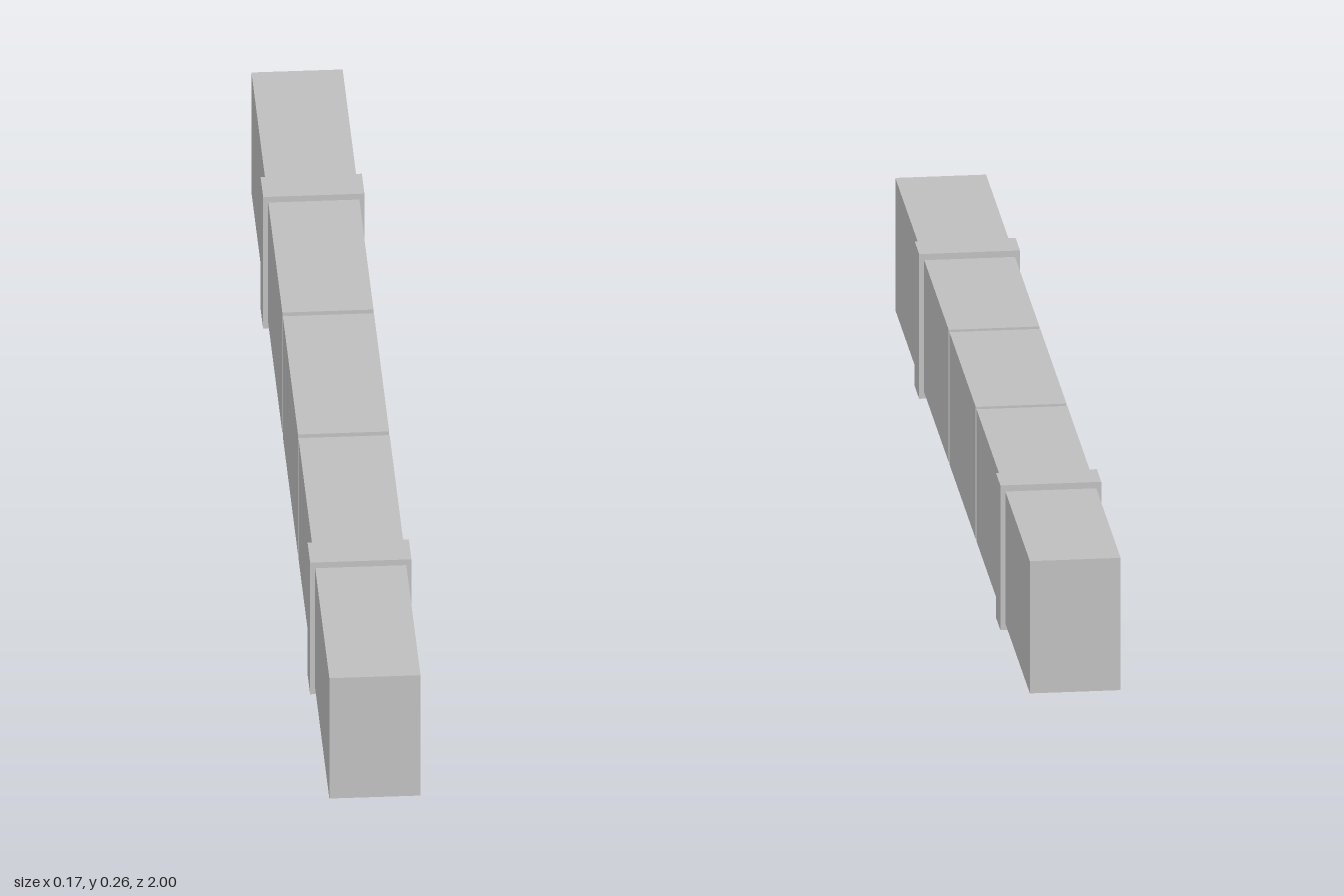
import * as THREE from 'three';

export function createModel() {
  const model = new THREE.Group();
  const grey = new THREE.MeshStandardMaterial({ color: 0xbfbfbf });
  grey.name = 'plain grey';

  const midY = 0.128;
  const count = 5;
  const gap = 0.012;
  const length = (2 - gap * (count - 1)) / count;
  const pitch = length + gap;

  function addBox(name, w, h, d, z) {
    const mesh = new THREE.Mesh(new THREE.BoxGeometry(w, h, d), grey);
    mesh.name = name;
    mesh.position.set(0, midY, z);
    model.add(mesh);
  }

  // Row of equal beam blocks separated by narrow joints
  for (let i = 0; i < count; i++) {
    addBox(`beamBlock${i + 1}`, 0.153, 0.234, length, (i - (count - 1) / 2) * pitch);
  }

  // Raised collars wrapping the two outer joints
  addBox('frontCollar', 0.17, 0.256, 0.066, 1.5 * pitch);
  addBox('backCollar', 0.17, 0.256, 0.066, -1.5 * pitch);

  return model;
}
